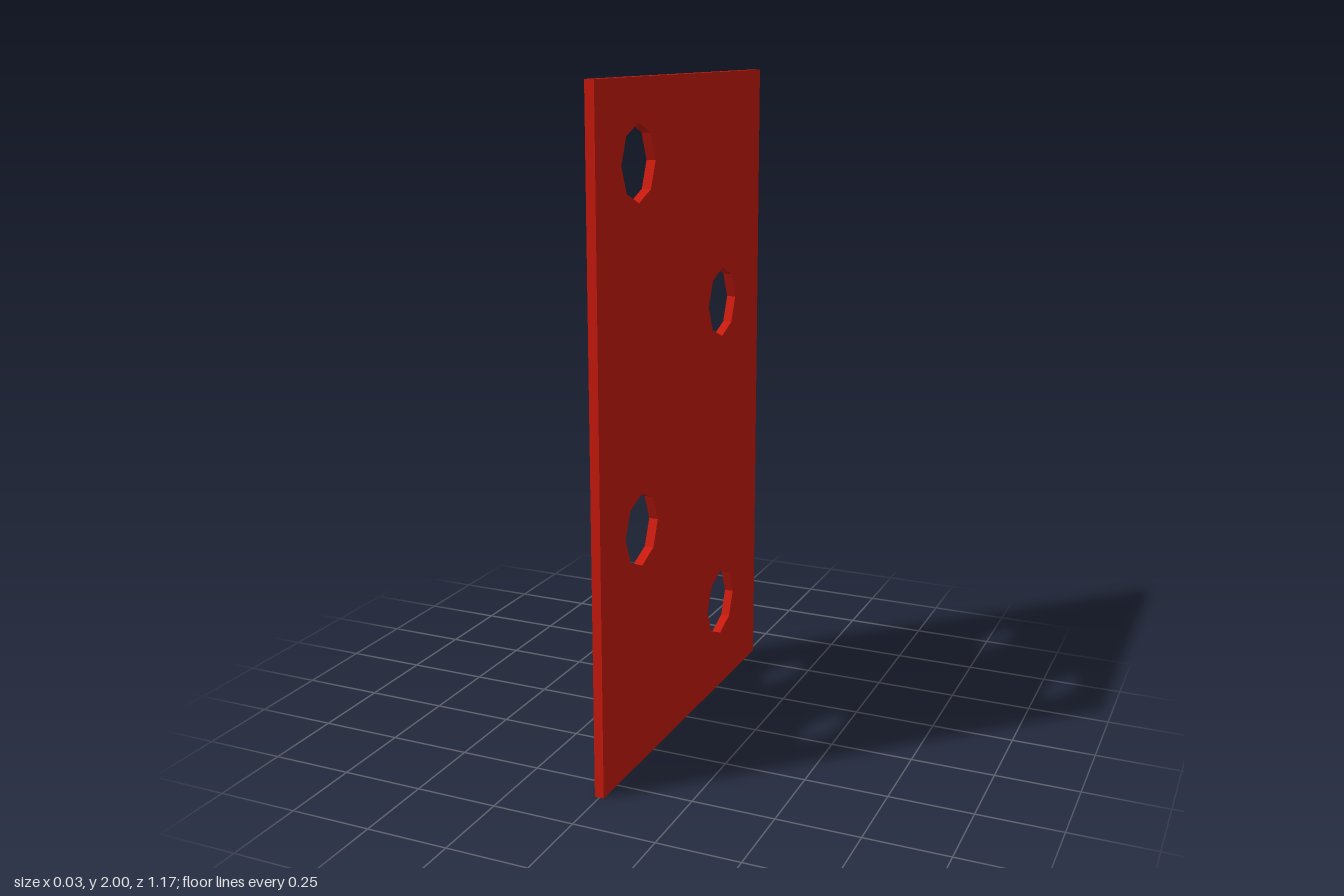
import * as THREE from 'three';

const WIDTH = 1.174, HEIGHT = 2, THICKNESS = 0.028;
const HOLE_RADIUS = 0.109, HOLE_SIDES = 8;
// Hole centres as [z, y]
const HOLES = [[0.325, 1.77], [-0.28, 1.293], [0.32, 0.722], [-0.28, 0.291]];

// Octagonal hole with corners on the axes
function octagon(cx, cy) {
  const points = [];
  for (let i = 0; i < HOLE_SIDES; i++) {
    const a = (-i / HOLE_SIDES) * Math.PI * 2;
    points.push(new THREE.Vector2(cx + HOLE_RADIUS * Math.cos(a), cy + HOLE_RADIUS * Math.sin(a)));
  }
  return new THREE.Path(points);
}

export function createModel() {
  const group = new THREE.Group();
  group.name = 'perforatedPlate';

  // Flat upright plate, outlined in z and y
  const w = WIDTH / 2;
  const outline = new THREE.Shape([
    new THREE.Vector2(-w, 0), new THREE.Vector2(w, 0),
    new THREE.Vector2(w, HEIGHT), new THREE.Vector2(-w, HEIGHT),
  ]);
  outline.holes = HOLES.map(([z, y]) => octagon(z, y));

  const geometry = new THREE.ExtrudeGeometry(outline, { depth: THICKNESS, bevelEnabled: false });
  geometry.translate(0, 0, -THICKNESS / 2);
  geometry.rotateY(-Math.PI / 2); // outline x becomes +z

  const plate = new THREE.Mesh(geometry, new THREE.MeshStandardMaterial({ color: 0xcc1a0d, flatShading: true }));
  plate.name = 'plate';
  group.add(plate);
  return group;
}
